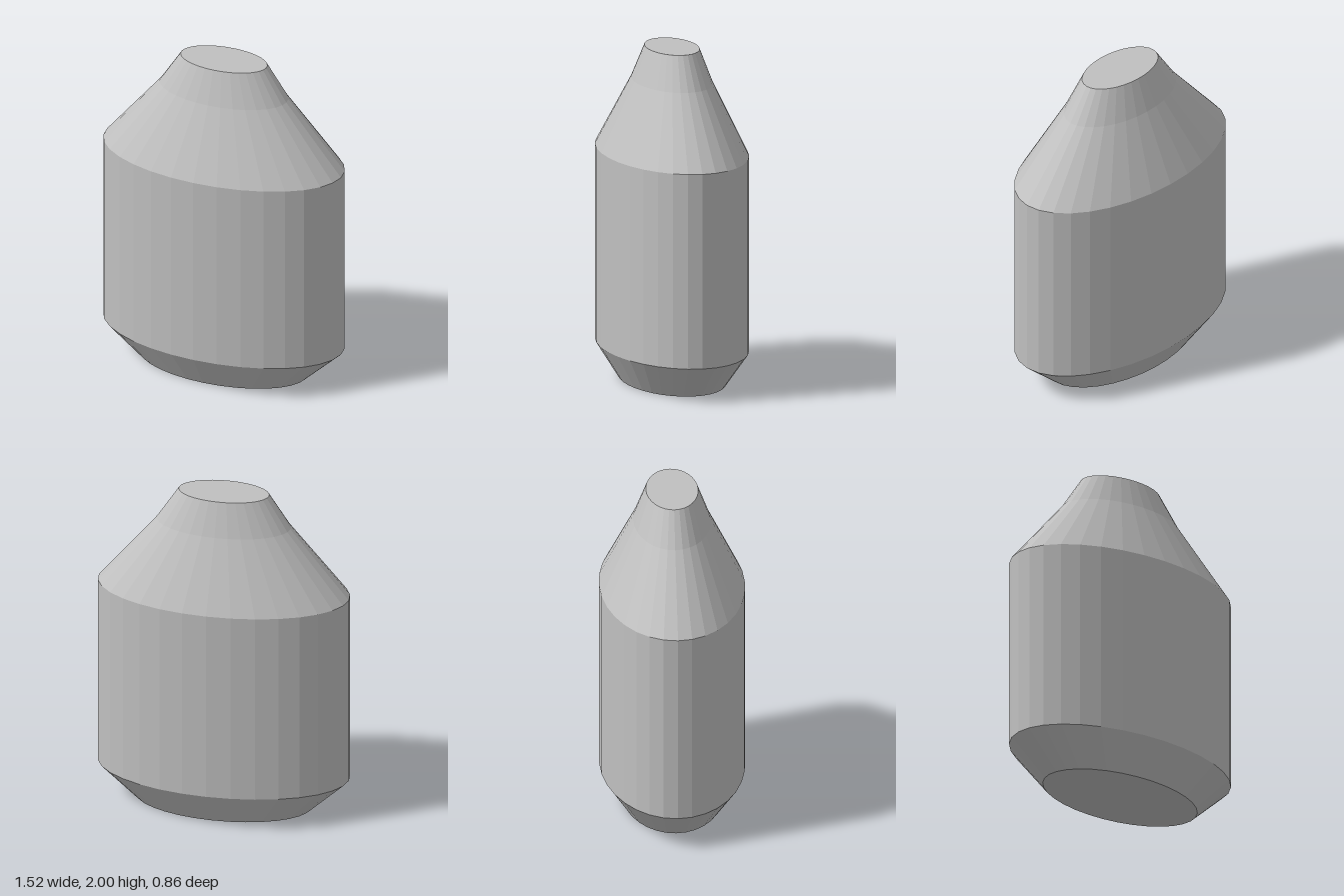
import * as THREE from 'three';

const SIDES = 32;
const DEPTH = 0.566; // depth of the oval section relative to its width

export function createModel() {
  const group = new THREE.Group();
  group.name = 'ovalBottle';
  const grey = new THREE.MeshStandardMaterial({ color: 0xc0c0c0, flatShading: true });
  grey.name = 'plain grey';

  // Turns a profile of [half width, height] points into a faceted oval solid part.
  function addPart(name, profile) {
    const points = profile.map(([x, y]) => new THREE.Vector2(x, y));
    const geometry = new THREE.LatheGeometry(points, SIDES).toNonIndexed();
    geometry.scale(1, 1, DEPTH);
    geometry.computeVertexNormals();
    const mesh = new THREE.Mesh(geometry, grey);
    mesh.name = name;
    group.add(mesh);
  }

  // Closed, chamfered foot
  addPart('base', [[0, 0], [0.53, 0], [0.76, 0.21]]);
  // Straight oval wall
  addPart('body', [[0.76, 0.21], [0.76, 1.38]]);
  // Sloping shoulder
  addPart('shoulder', [[0.76, 1.38], [0.405, 1.8]]);
  // Steeper neck with a flat closed top
  addPart('neck', [[0.405, 1.8], [0.273, 2], [0, 2]]);

  return group;
}
